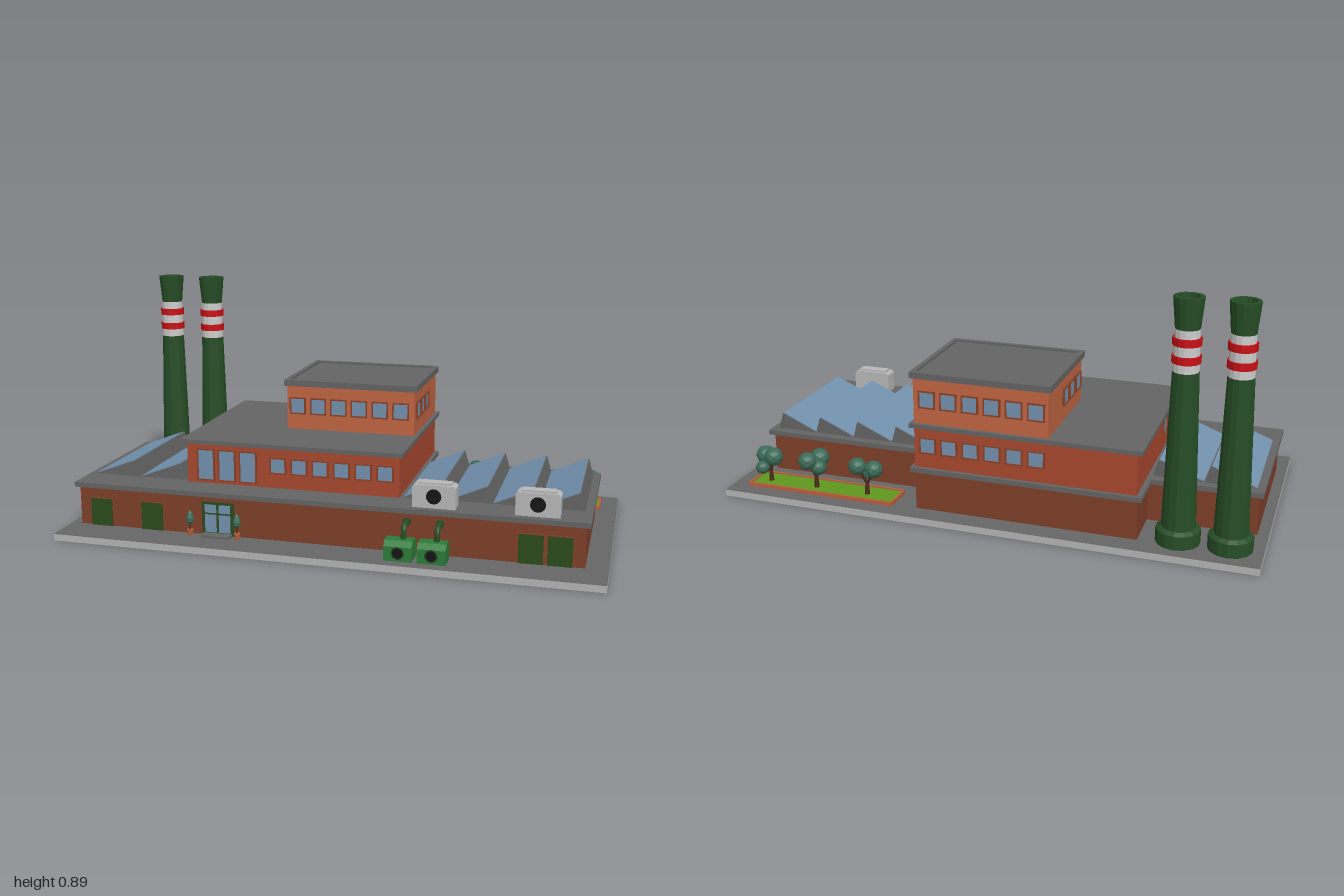
import * as THREE from 'three';

const mat = (color, side = THREE.FrontSide) =>
  new THREE.MeshStandardMaterial({ color, flatShading: true, side });
const M = {
  kerb: mat(0xb4b4b4), asphalt: mat(0x666666), roof: mat(0x646464),
  brick1: mat(0x7d3f28), brick2: mat(0xa8482e), brick3: mat(0xc06542),
  frame: mat(0x8a4229), glass: mat(0x7391ad), darkGreen: mat(0x264d26, THREE.DoubleSide),
  doorGreen: mat(0x2a4a1c), machine: mat(0x2c7a38), white: mat(0xe0e0e0), red: mat(0xc81014),
  metal: mat(0xb8b8b8), black: mat(0x151515), grass: mat(0x5f961e), soil: mat(0xb85f3c),
  trunk: mat(0x4a2c1c), leaf: mat(0x3c6a58),
};

export function createModel() {
  const root = new THREE.Group();

  const add = (name, geo, m, x = 0, y = 0, z = 0, parent = root) => {
    const mesh = new THREE.Mesh(geo, m);
    mesh.name = name;
    mesh.position.set(x, y, z);
    parent.add(mesh);
    return mesh;
  };
  // box given by its limits
  const block = (name, m, x0, x1, y0, y1, z0, z1, parent = root) =>
    add(name, new THREE.BoxGeometry(x1 - x0, y1 - y0, z1 - z0), m,
      (x0 + x1) / 2, (y0 + y1) / 2, (z0 + z1) / 2, parent);
  const group = (name, x, y, z, ry = 0) => {
    const g = new THREE.Group();
    g.name = name;
    g.position.set(x, y, z);
    g.rotation.y = ry;
    root.add(g);
    return g;
  };
  const extrude = (pts, depth) => new THREE.ExtrudeGeometry(
    new THREE.Shape(pts.map(p => new THREE.Vector2(...p))), { depth, bevelEnabled: false });

  // Ground slab with light kerb sides
  block('groundSlab', [M.kerb, M.kerb, M.asphalt, M.asphalt, M.kerb, M.kerb], -1, 1, 0, 0.025, -0.5, 0.5);

  // Ground floor: long hall plus a deeper middle
  block('groundFloorHall', M.brick1, -0.96, 0.92, 0.025, 0.172, -0.25, 0.355);
  block('groundFloorMiddle', M.brick1, -0.57, 0.25, 0.025, 0.172, -0.42, -0.25);
  block('groundFloorRoof', M.roof, -0.975, 0.935, 0.172, 0.19, -0.27, 0.37);
  block('groundFloorRoofMiddle', M.roof, -0.585, 0.265, 0.172, 0.19, -0.435, -0.27);

  // Upper floors
  block('secondFloor', M.brick2, -0.565, 0.25, 0.19, 0.342, -0.42, 0.25);
  block('secondFloorRoof', M.roof, -0.585, 0.265, 0.342, 0.358, -0.435, 0.267);
  block('thirdFloor', M.brick3, -0.25, 0.25, 0.358, 0.527, -0.42, 0);
  block('thirdFloorRoof', M.roof, -0.26, 0.26, 0.527, 0.542, -0.43, 0.01);
  for (const [x0, x1, z0, z1] of [
    [-0.26, 0.26, -0.43, -0.412], [-0.26, 0.26, -0.008, 0.01],
    [-0.26, -0.242, -0.412, -0.008], [0.242, 0.26, -0.412, -0.008],
  ]) block('parapet', M.roof, x0, x1, 0.542, 0.55, z0, z1);

  // Framed windows, facing +z before rotation
  const windowOn = (x, y, z, w, h, ry = 0) => {
    const g = group('window', x, y, z, ry);
    const t = 0.005;
    for (const s of [-1, 1]) {
      block('windowFrameSide', M.frame, s * w / 2 - t / 2, s * w / 2 + t / 2, -h / 2, h / 2, 0, 0.008, g);
      block('windowFrameRail', M.frame, -w / 2 - t / 2, w / 2 + t / 2, s * h / 2 - t / 2, s * h / 2 + t / 2, 0, 0.008, g);
    }
    block('windowGlass', M.glass, -w / 2, w / 2, -h / 2, h / 2, 0, 0.004, g);
  };
  for (let i = 0; i < 6; i++) {
    const x = -0.207 + i * 0.081;
    windowOn(x, 0.45, 0, 0.058, 0.06);
    windowOn(x, 0.45, -0.42, 0.058, 0.06, Math.PI);
    windowOn(x, 0.276, 0.25, 0.058, 0.057);
    windowOn(x, 0.276, -0.42, 0.058, 0.057, Math.PI);
  }
  for (let i = 0; i < 3; i++) {
    const z = -0.057 - i * 0.081;
    windowOn(0.25, 0.45, z, 0.06, 0.06, Math.PI / 2);
    windowOn(-0.25, 0.45, z, 0.06, 0.06, -Math.PI / 2);
    windowOn(-0.565, 0.286, 0.19 - i * 0.081, 0.058, 0.07, -Math.PI / 2);
    windowOn(-0.49 + i * 0.083, 0.262, 0.25, 0.064, 0.117);
  }

  // Sawtooth skylights: glazed slope rising toward +x, steep back
  const skylight = (x, w) => {
    const g = group('skylight', x, 0.19, -0.235);
    const drop = 0.018, h = 0.062;
    add('skylightBody', extrude([[0, 0], [w, 0], [w - drop, h], [w - drop - 0.003, h]], 0.47), M.roof, 0, 0, 0, g);
    add('skylightGlass', extrude([[0.004, 0.0015], [w - drop - 0.003, h], [w - drop - 0.003, h + 0.003], [0.002, 0.004]], 0.464),
      M.glass, 0, 0, 0.003, g);
  };
  for (const x of [-0.95, -0.765]) skylight(x, 0.183);
  for (let i = 0; i < 4; i++) skylight(0.265 + i * 0.16, 0.162);

  // Chimneys
  const lathe = pts => new THREE.LatheGeometry(pts.map(p => new THREE.Vector2(...p)), 14);
  for (const x of [-0.885, -0.705]) {
    const g = group('chimney', x, 0, -0.38);
    add('chimneyFoot', lathe([[0, 0.025], [0.078, 0.025], [0.078, 0.075], [0.064, 0.085], [0, 0.085]]), M.darkGreen, 0, 0, 0, g);
    add('chimneyShaft', lathe([[0.06, 0.08], [0.045, 0.64]]), M.darkGreen, 0, 0, 0, g);
    add('chimneyWhiteBand', new THREE.CylinderGeometry(0.042, 0.045, 0.145, 14), M.white, 0, 0.7125, 0, g);
    for (const y of [0.683, 0.743])
      add('chimneyRedRing', new THREE.CylinderGeometry(0.049, 0.049, 0.026, 14), M.red, 0, y, 0, g);
    add('chimneyMouth', lathe([[0.042, 0.785], [0.052, 0.892], [0.037, 0.892], [0.03, 0.79], [0, 0.79]]), M.darkGreen, 0, 0, 0, g);
  }

  // Service doors
  for (const x of [-0.872, -0.667, 0.735, 0.835]) {
    block('doorFrame', M.frame, x - 0.047, x + 0.047, 0.025, 0.133, 0.355, 0.358);
    block('serviceDoor', M.doorGreen, x - 0.043, x + 0.043, 0.025, 0.13, 0.355, 0.361);
  }

  // Glazed entrance with step
  block('entranceFrame', M.doorGreen, -0.467, -0.343, 0.025, 0.152, 0.355, 0.362);
  for (const x of [-0.432, -0.378]) {
    block('entranceDoorGlass', M.glass, x - 0.022, x + 0.022, 0.038, 0.105, 0.36, 0.365);
    block('entranceTransom', M.glass, x - 0.022, x + 0.022, 0.112, 0.143, 0.36, 0.365);
  }
  block('entranceStep', M.asphalt, -0.46, -0.35, 0.025, 0.035, 0.355, 0.397);

  // Potted bushes beside the entrance
  for (const x of [-0.508, -0.325]) {
    add('pot', new THREE.CylinderGeometry(0.012, 0.009, 0.022, 8), M.soil, x, 0.036, 0.378);
    add('bushStem', new THREE.CylinderGeometry(0.003, 0.003, 0.03, 5), M.trunk, x, 0.06, 0.378);
    add('bush', lathe([[0, 0.065], [0.014, 0.078], [0.015, 0.092], [0.008, 0.112], [0, 0.122]]), M.leaf, x, 0, 0.378);
  }

  // Machines with exhaust pipes into the wall
  for (const x of [0.29, 0.408]) {
    const g = group('machine', x, 0.025, 0);
    const body = add('machineBody', extrude([[-0.455, 0], [-0.38, 0], [-0.38, 0.058], [-0.393, 0.07], [-0.437, 0.07], [-0.455, 0.052]], 0.1),
      M.machine, -0.05, 0, 0, g);
    body.rotation.y = Math.PI / 2;
    add('machineRim', new THREE.TorusGeometry(0.021, 0.003, 6, 14), M.darkGreen, 0, 0.03, 0.455, g);
    add('machineVent', new THREE.CylinderGeometry(0.019, 0.019, 0.004, 14), M.black, 0, 0.03, 0.456, g)
      .rotation.x = Math.PI / 2;
    const path = new THREE.CurvePath();
    const P = (y, z) => new THREE.Vector3(0.012, y, z);
    path.add(new THREE.LineCurve3(P(0.068, 0.41), P(0.092, 0.41)));
    path.add(new THREE.QuadraticBezierCurve3(P(0.092, 0.41), P(0.115, 0.41), P(0.115, 0.387)));
    path.add(new THREE.LineCurve3(P(0.115, 0.387), P(0.115, 0.353)));
    add('exhaustPipe', new THREE.TubeGeometry(path, 14, 0.01, 8), M.darkGreen, 0, 0, 0, g);
    add('pipeFlange', new THREE.CylinderGeometry(0.015, 0.015, 0.008, 10), M.darkGreen, 0.012, 0.115, 0.36, g)
      .rotation.x = Math.PI / 2;
  }

  // Rooftop cooling units
  for (const x of [0.393, 0.753]) {
    const g = group('coolingUnit', x, 0.19, 0.283);
    add('coolingCase', extrude([[-0.077, 0], [0.077, 0], [0.077, 0.075], [0.068, 0.083], [-0.068, 0.083], [-0.077, 0.075]], 0.06), M.metal, 0, 0, 0, g);
    block('coolingTop', M.metal, -0.06, 0.06, 0.083, 0.09, 0.01, 0.05, g);
    add('fan', new THREE.CylinderGeometry(0.027, 0.027, 0.004, 16), M.black, 0, 0.043, 0.061, g)
      .rotation.x = Math.PI / 2;
  }

  // Garden bed
  block('grass', M.grass, 0.345, 0.93, 0.025, 0.035, -0.435, -0.325);
  for (const z of [-0.44, -0.324]) block('gardenBorder', M.soil, 0.34, 0.935, 0.025, 0.04, z, z + 0.008);
  for (const x of [0.34, 0.927]) block('gardenBorderEnd', M.soil, x, x + 0.008, 0.025, 0.04, -0.432, -0.324);

  // Trees: trunk, branches and leaf balls [x, y, z, r] about the trunk
  const trees = [
    [0.463, -0.385, [[-0.032, 0.14, -0.005, 0.034], [0.03, 0.148, -0.014, 0.034], [0.005, 0.105, 0.03, 0.025]]],
    [0.672, -0.388, [[0.02, 0.148, -0.027, 0.035], [-0.015, 0.12, -0.006, 0.03], [-0.007, 0.148, 0.022, 0.037]]],
    [0.868, -0.385, [[-0.026, 0.142, -0.016, 0.036], [0.022, 0.135, 0.008, 0.036], [0.02, 0.095, -0.024, 0.026]]],
  ];
  for (const [x, z, balls] of trees) {
    const g = group('tree', x, 0, z);
    add('trunk', new THREE.CylinderGeometry(0.006, 0.01, 0.06, 6), M.trunk, 0, 0.06, 0, g);
    for (const [bx, by, bz, r] of balls) {
      const branch = new THREE.LineCurve3(new THREE.Vector3(0, 0.075, 0), new THREE.Vector3(bx, by, bz));
      add('branch', new THREE.TubeGeometry(branch, 1, 0.005, 5), M.trunk, 0, 0, 0, g);
      add('foliage', new THREE.IcosahedronGeometry(r, 1), M.leaf, bx, by, bz, g);
    }
  }
  return root;
}
